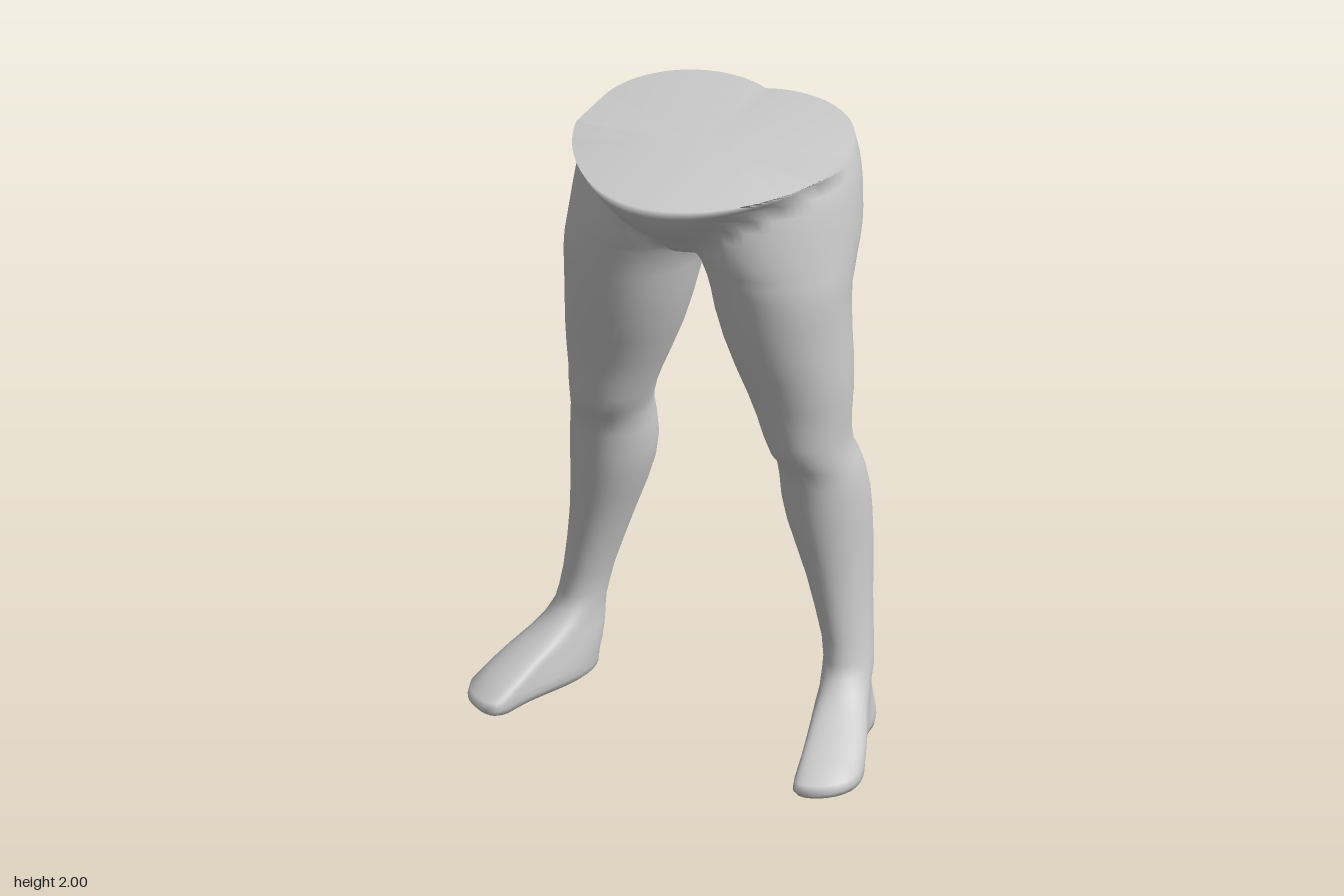
import * as THREE from 'three';
import { mergeVertices } from 'three/addons/utils/BufferGeometryUtils.js';

const SIDES = 48;

// Left half cross-sections: [y, inner x, outer x, front z, back z]
// (an inner x below 0 means the section is cut open at the midline)
const hipRings = [
  [2.0, -0.17, 0.42, 0.17, -0.44], [1.97, -0.17, 0.43, 0.18, -0.442], [1.93, -0.165, 0.442, 0.2, -0.445],
  [1.89, -0.155, 0.45, 0.21, -0.443], [1.85, -0.14, 0.456, 0.215, -0.437], [1.81, -0.12, 0.46, 0.22, -0.427],
  [1.76, -0.08, 0.465, 0.22, -0.41], [1.72, -0.045, 0.468, 0.217, -0.388], [1.69, -0.02, 0.47, 0.213, -0.363],
  [1.66, 0, 0.472, 0.209, -0.335],
];
const legRings = [
  [1.62, 0.022, 0.475, 0.204, -0.3], [1.57, 0.04, 0.475, 0.198, -0.265], [1.5, 0.053, 0.475, 0.189, -0.255],
  [1.4, 0.08, 0.476, 0.173, -0.247], [1.3, 0.112, 0.482, 0.148, -0.235], [1.2, 0.152, 0.482, 0.122, -0.217],
  [1.12, 0.185, 0.476, 0.109, -0.205], [1.06, 0.207, 0.474, 0.105, -0.201], [1.0, 0.226, 0.475, 0.09, -0.212],
  [0.96, 0.235, 0.487, 0.06, -0.225], [0.9, 0.236, 0.497, 0.048, -0.248], [0.82, 0.238, 0.505, 0.041, -0.268],
  [0.74, 0.253, 0.507, 0.032, -0.274], [0.65, 0.282, 0.509, 0.018, -0.268], [0.55, 0.318, 0.512, 0.006, -0.25],
  [0.45, 0.35, 0.518, 0.001, -0.227], [0.35, 0.38, 0.527, 0, -0.205], [0.28, 0.392, 0.537, 0.008, -0.187],
];
// The same, plus how far the toes turn outward
const footRings = [
  [0.24, 0.396, 0.543, 0.028, -0.178, 0], [0.2, 0.4, 0.553, 0.075, -0.174, 0.02],
  [0.165, 0.402, 0.57, 0.145, -0.174, 0.045], [0.13, 0.408, 0.592, 0.225, -0.177, 0.075],
  [0.095, 0.415, 0.61, 0.3, -0.18, 0.1], [0.06, 0.424, 0.626, 0.38, -0.182, 0.12],
  [0.035, 0.426, 0.627, 0.395, -0.182, 0.12], [0.015, 0.43, 0.622, 0.375, -0.178, 0.12],
  [0, 0.445, 0.608, 0.34, -0.165, 0.11],
];

// Belly profile at the midline, [y, z]
const bellyProfile = [[1.66, 0], [1.69, 0.12], [1.72, 0.19], [1.76, 0.23], [1.81, 0.28], [1.85, 0.345], [1.89, 0.385], [1.93, 0.415], [1.97, 0.438], [2, 0.44]];

// Forward reach of the belly, narrowing downward to a V between the thighs
function bellyZ(x, y) {
  const width = 0.12 + (y - 1.72) * 1.1;
  if (y <= 1.66 || x >= width) return -1;
  const k = bellyProfile.findIndex((p) => p[0] >= y - 1e-6);
  return bellyProfile[k][1] * Math.pow(1 - (x / width) ** 2, 0.7);
}

// Points of one section, running from the inner back, round the outside, to the inner front
function ringPoints([y, xin, xout, zf, zb, turn = 0]) {
  const cx = (xin + xout) / 2, hw = (xout - xin) / 2;
  const cz = (zf + zb) / 2, hz = (zf - zb) / 2;
  const end = xin < 0 ? Math.acos(-cx / hw) : Math.PI;
  const points = [];
  for (let j = 0; j <= SIDES; j++) {
    const t = end * (2 * j / SIDES - 1), s = Math.sin(t);
    let x = cx + hw * Math.cos(t) * (1 + 2 * turn * s) + turn * s * (1 - 0.8 * s * s);
    let z = cz + hz * s;
    if (Math.abs(x) < 1e-6) x = 0;
    if (j > SIDES / 2) z = Math.max(z, bellyZ(x, y));
    points.push([x, y, z]);
  }
  return points;
}

function createBodyGeometry() {
  const rings = [...hipRings, ...legRings, ...footRings].map(ringPoints);
  const positions = [], index = [];
  const row = SIDES + 1;
  for (const side of [1, -1]) {
    const base = positions.length / 3;
    const face = (a, b, c) => index.push(base + a, base + (side > 0 ? b : c), base + (side > 0 ? c : b));
    for (const ring of rings) for (const [x, y, z] of ring) positions.push(x * side, y, z);
    // Waist and sole centres
    const waist = rings.length * row, sole = waist + 1, last = (rings.length - 1) * row;
    positions.push(0, 2, 0, 0.525 * side, 0, 0.09);
    for (let j = 0; j < SIDES; j++) {
      for (let i = 0; i < rings.length - 1; i++) {
        const a = i * row + j, b = a + row;
        face(a, a + 1, b);
        face(a + 1, b + 1, b);
      }
      face(waist, j + 1, j);
      face(sole, last + j, last + j + 1);
    }
  }
  let geometry = new THREE.BufferGeometry();
  geometry.setAttribute('position', new THREE.Float32BufferAttribute(positions, 3));
  geometry.setIndex(index);
  // Weld the two halves along the midline so the shading is continuous
  geometry = mergeVertices(geometry, 1e-4);
  geometry.computeVertexNormals();
  return geometry;
}

export function createModel() {
  const group = new THREE.Group();
  group.name = 'lowerBody';
  const body = new THREE.Mesh(createBodyGeometry(), new THREE.MeshStandardMaterial({ color: 0xcccccc }));
  body.name = 'hipsLegsAndFeet';
  group.add(body);
  return group;
}
